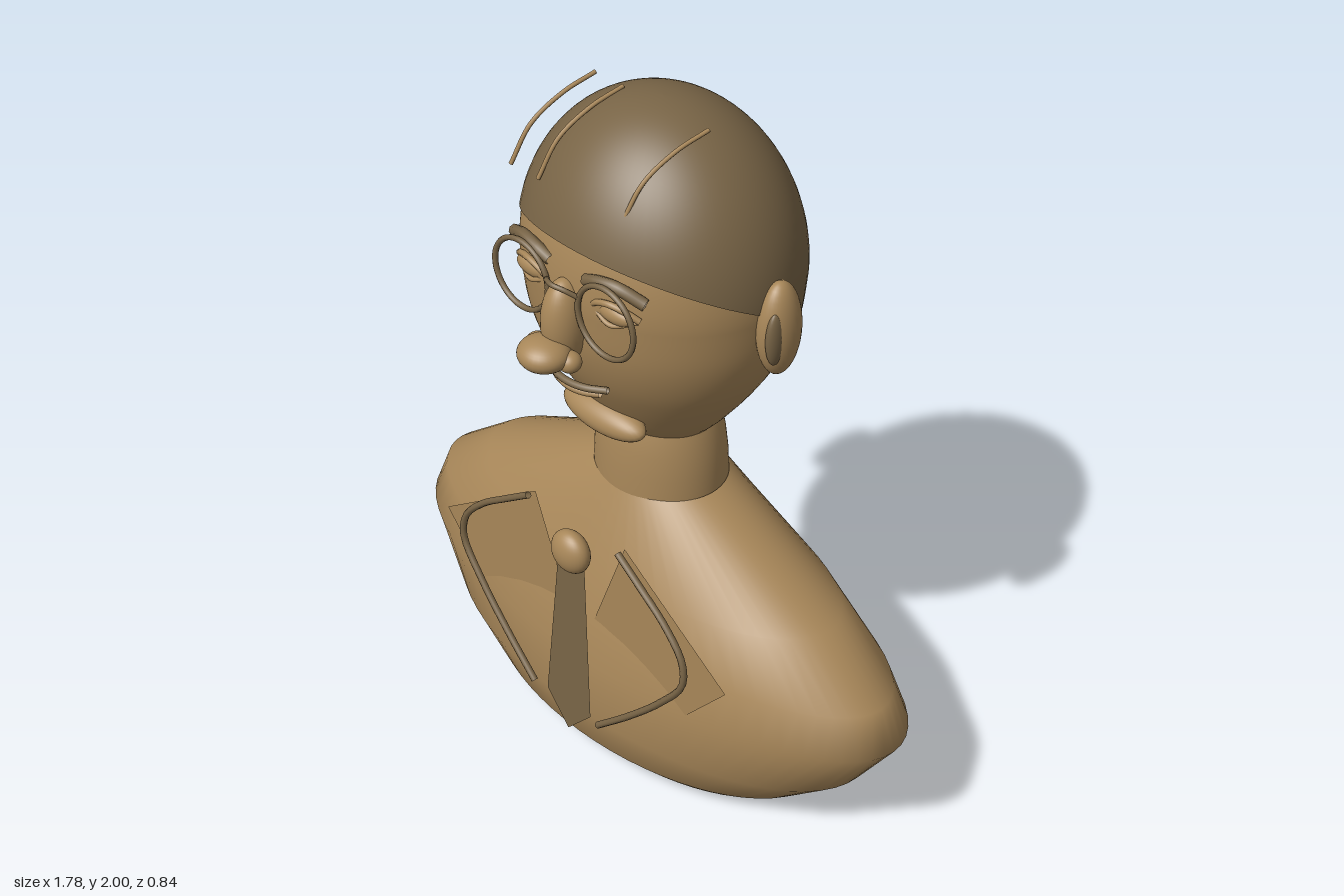
import * as THREE from 'three';

const CZ = -0.065; // depth of the body axis
const SQUASH = 0.865; // depth to width ratio of the head

const material = (name, color) =>
  new THREE.MeshStandardMaterial({ name, color, side: THREE.DoubleSide });

// Smooth closed loft: rows of rings, point(row, angle) gives [x, y, z]
function loft(rows, segments, point) {
  const pos = [], index = [];
  for (let i = 0; i < rows; i++) {
    for (let j = 0; j < segments; j++) pos.push(...point(i, (j / segments) * Math.PI * 2));
  }
  for (let i = 0; i < rows - 1; i++) {
    for (let j = 0; j < segments; j++) {
      const k = (j + 1) % segments;
      const a = i * segments + j, b = i * segments + k;
      index.push(a, b, b + segments, a, b + segments, a + segments);
    }
  }
  const g = new THREE.BufferGeometry();
  g.setAttribute('position', new THREE.Float32BufferAttribute(pos, 3));
  g.setIndex(index);
  g.computeVertexNormals();
  return g;
}

// Rings given as [y, half width, half depth, centre z]
const ringLoft = (rings) => loft(rings.length, 64, (i, a) => {
  const [y, w, d, z] = rings[i];
  return [Math.sin(a) * w, y, Math.cos(a) * d + z];
});

// Head half width by height: round skull above, tapering jaw below
const jaw = new THREE.SplineCurve([
  [0.165, 1.05], [0.21, 1.1], [0.285, 1.2], [0.345, 1.3], [0.383, 1.41], [0.4, 1.55],
].map(([x, y]) => new THREE.Vector2(x, y)));
const jawPoints = jaw.getPoints(60);
function headRadius(y) {
  if (y >= 1.55) return 0.4 * Math.sqrt(Math.max(0, 1 - ((y - 1.55) / 0.45) ** 2));
  const i = Math.max(1, jawPoints.findIndex((p) => p.y >= y));
  const a = jawPoints[i - 1], b = jawPoints[i];
  return THREE.MathUtils.mapLinear(y, a.y, b.y, a.x, b.x);
}

// Slanted hairline: height of the lower hair edge at one angle
function hairEdge(a) {
  let y = 1.55;
  for (let n = 0; n < 25; n++) {
    const z = CZ + Math.cos(a) * headRadius(y) * SQUASH;
    y = 1.7 - (0.265 - z) * 0.52;
  }
  return y;
}

export function createModel() {
  const group = new THREE.Group();
  const bronze = material('bronze', 0xa88759);
  const dark = material('dark bronze', 0x786446);

  const add = (name, geometry, mat) => {
    const mesh = new THREE.Mesh(geometry, mat);
    mesh.name = name;
    group.add(mesh);
    return mesh;
  };
  const ball = (name, mat, center, radii) => {
    const mesh = add(name, new THREE.SphereGeometry(1, 32, 20), mat);
    mesh.position.set(...center);
    mesh.scale.set(...radii);
    return mesh;
  };
  const tube = (name, mat, points, radius) => {
    const curve = new THREE.CatmullRomCurve3(points.map((p) => new THREE.Vector3(...p)));
    return add(name, new THREE.TubeGeometry(curve, 32, radius, 8), mat);
  };
  // Flat panel whose depth follows a rule of height
  const panel = (name, mat, outline, depth) => {
    const shape = new THREE.Shape(outline.map(([x, y]) => new THREE.Vector2(x, y)));
    const g = new THREE.ShapeGeometry(shape);
    const p = g.attributes.position;
    for (let i = 0; i < p.count; i++) p.setZ(i, depth(p.getY(i)));
    g.computeVertexNormals();
    return add(name, g, mat);
  };

  // Hollow torso, open at the base, and neck
  add('torso', ringLoft([
    [0, 0.545, 0.275, -0.07], [0.06, 0.617, 0.318, -0.062], [0.19, 0.765, 0.352, -0.062],
    [0.375, 0.89, 0.343, -0.061], [0.495, 0.84, 0.303, -0.058],
    [0.645, 0.645, 0.268, -0.058], [0.86, 0.2, 0.17, CZ],
  ]), bronze);
  add('neck', ringLoft([
    [0.84, 0.197, 0.172, CZ], [0.92, 0.194, 0.171, CZ], [0.99, 0.184, 0.165, CZ],
    [1.04, 0.17, 0.157, CZ], [1.08, 0.155, 0.145, CZ],
  ]), bronze);

  // Head, from under the jaw to the crown
  add('head', loft(41, 64, (i, a) => {
    const t = i / 40;
    const y = t < 0.5 ? 1.05 + t : 1.55 + 0.45 * Math.sin((t - 0.5) * Math.PI);
    const r = headRadius(y) * 0.995;
    return [Math.sin(a) * r, y - 0.004, Math.cos(a) * r * SQUASH + CZ];
  }), bronze);
  // Hair cap with a slanted lower edge
  add('hair', loft(33, 64, (i, a) => {
    const y0 = hairEdge(a);
    const y = y0 + (2 - y0) * Math.sin((i / 32) * Math.PI / 2);
    const r = headRadius(y) * 1.012;
    return [Math.sin(a) * r, y, Math.cos(a) * r * SQUASH + CZ];
  }), dark);
  // Loose strands combed over the crown
  for (const x of [-0.28, -0.178, -0.08, 0.025, 0.125]) {
    tube('hairStrand', bronze, [
      [x, 1.79, 0.2], [x + 0.02, 1.895, 0.145], [x + 0.04, 1.955, 0.055], [x + 0.056, 1.983, -0.045],
    ], 0.006);
  }

  // Nose, chin and mouth
  ball('noseBridge', bronze, [0, 1.485, 0.28], [0.058, 0.127, 0.067]);
  ball('noseTip', bronze, [0, 1.42, 0.352], [0.072, 0.045, 0.07]);
  const chin = ball('chin', bronze, [0, 1.127, 0.145], [0.148, 0.046, 0.055]);
  chin.rotation.x = 0.4;
  tube('upperLip', dark, [[-0.12, 1.31, 0.245], [-0.06, 1.303, 0.272], [0, 1.3, 0.28],
    [0.06, 1.303, 0.272], [0.12, 1.31, 0.245]], 0.01);
  tube('lowerLip', bronze, [[-0.092, 1.285, 0.245], [-0.045, 1.278, 0.262], [0, 1.276, 0.268],
    [0.045, 1.278, 0.262], [0.092, 1.285, 0.245]], 0.011);
  tube('glassesBridge', dark, [[-0.06, 1.585, 0.285], [-0.03, 1.605, 0.31], [0, 1.61, 0.32],
    [0.03, 1.605, 0.31], [0.06, 1.585, 0.285]], 0.007);

  // Paired features
  for (const s of [-1, 1]) {
    ball('nostril', bronze, [s * 0.06, 1.407, 0.32], [0.032, 0.029, 0.032]);
    ball('ear', bronze, [s * 0.413, 1.5, -0.07], [0.052, 0.138, 0.066]);
    ball('innerEar', dark, [s * 0.438, 1.495, -0.03], [0.019, 0.078, 0.03]);
    ball('eye', bronze, [s * 0.15, 1.563, 0.245], [0.06, 0.027, 0.025]);
    tube('upperEyelid', bronze, [[s * 0.078, 1.565, 0.26], [s * 0.11, 1.587, 0.266],
      [s * 0.15, 1.597, 0.264], [s * 0.19, 1.587, 0.25], [s * 0.222, 1.565, 0.23]], 0.009);
    tube('lowerEyelid', bronze, [[s * 0.085, 1.56, 0.26], [s * 0.15, 1.535, 0.262],
      [s * 0.215, 1.56, 0.232]], 0.007);
    tube('eyebrow', dark, [[s * 0.065, 1.632, 0.265], [s * 0.11, 1.649, 0.268],
      [s * 0.17, 1.653, 0.258], [s * 0.24, 1.622, 0.228]], 0.017);
    const rim = add('glassesRim', new THREE.TorusGeometry(0.1, 0.008, 8, 48), dark);
    rim.position.set(s * 0.155, 1.555, 0.285);

    // Jacket lapel and its piping
    panel('lapel', bronze, [
      [s * 0.175, 0.82], [s * 0.555, 0.55], [s * 0.255, 0.2], [s * 0.045, 0.48],
    ], () => 0.242);
    tube('lapelPiping', dark, [
      [0.175, 0.82], [0.27, 0.755], [0.36, 0.69], [0.43, 0.61], [0.438, 0.535], [0.36, 0.425], [0.245, 0.305], [0.13, 0.2],
    ].map(([x, y]) => [s * x, y, 0.305 - (y - 0.2) * 0.06]), 0.01);
  }

  // Necktie
  panel('tie', dark, [
    [-0.05, 0.72], [0.05, 0.72], [0.088, 0.195], [0, 0.1], [-0.088, 0.195],
  ], (y) => 0.302 - y * 0.04);
  ball('tieKnot', bronze, [0, 0.73, 0.275], [0.065, 0.065, 0.042]);

  return group;
}
